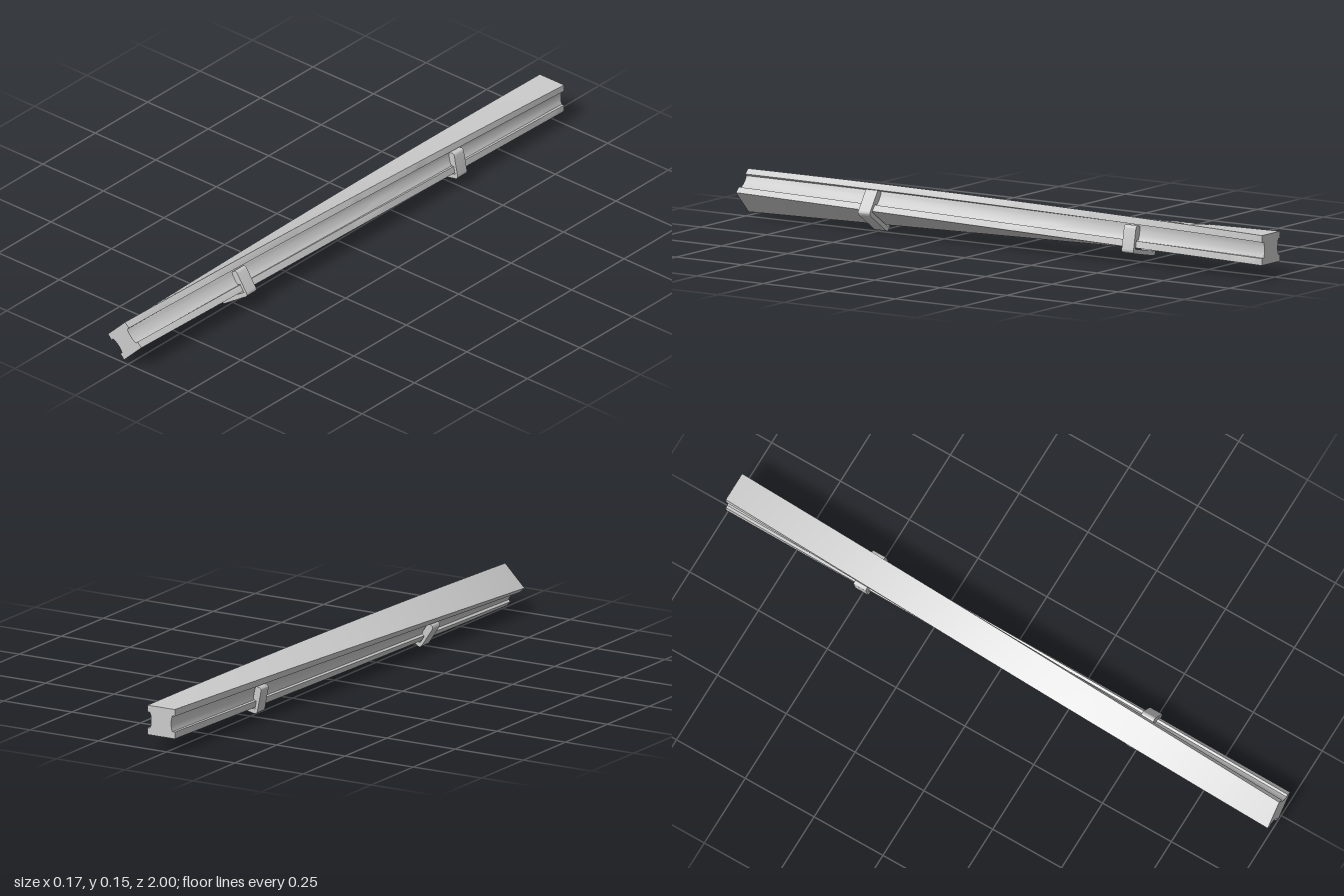
import * as THREE from 'three';
import { toCreasedNormals } from 'three/addons/utils/BufferGeometryUtils.js';

const LENGTH = 2;
const TWIST = Math.PI / 4;
const PIVOT = { x: 0.02, y: 0.045 }; // middle of the rail's underside

// Roll of the cross-section at a given z: level at the back, 45 degrees at the front
const rollAt = (z) => TWIST * (z + LENGTH / 2) / LENGTH;

// Closed outline from its right half, listed bottom to top
function mirroredShape(half) {
  const left = half.map(([x, y]) => [-x, y]).reverse();
  return new THREE.Shape([...half, ...left].map(([x, y]) => new THREE.Vector2(x, y)));
}

// Rail: grooved profile extruded along z, then each section rolled about the pivot
function railGeometry() {
  const shape = mirroredShape([
    [0.05, 0], [0.05, 0.022], [0.041, 0.022], [0.038, 0.03], [0.0365, 0.04],
    [0.0365, 0.054], [0.038, 0.064], [0.041, 0.073], [0.05, 0.073], [0.05, 0.095],
  ]);
  const geometry = new THREE.ExtrudeGeometry(shape, { depth: LENGTH, steps: 48, bevelEnabled: false });
  geometry.translate(0, 0, -LENGTH / 2);
  const p = geometry.attributes.position;
  const v = new THREE.Vector3();
  const axis = new THREE.Vector3(0, 0, 1);
  for (let i = 0; i < p.count; i++) {
    v.fromBufferAttribute(p, i).applyAxisAngle(axis, rollAt(p.getZ(i)));
    p.setXYZ(i, v.x, v.y, v.z);
  }
  return toCreasedNormals(geometry, 0.5);
}

// Clip: a strap under the rail whose arms hook into both side grooves
function clipGeometry(width) {
  const s = new THREE.Shape();
  s.moveTo(-0.052, -0.019);
  s.lineTo(0.052, -0.019);
  s.quadraticCurveTo(0.062, -0.018, 0.062, -0.007);
  s.lineTo(0.062, 0.058);
  s.quadraticCurveTo(0.062, 0.069, 0.053, 0.07);
  s.lineTo(0.042, 0.069);
  s.lineTo(0.039, 0.06);
  s.lineTo(0.039, 0.034);
  s.lineTo(0.042, 0.025);
  s.lineTo(0.052, 0.023);
  s.lineTo(0.052, -0.004);
  s.lineTo(-0.052, -0.004);
  s.lineTo(-0.052, 0.023);
  s.lineTo(-0.042, 0.025);
  s.lineTo(-0.039, 0.034);
  s.lineTo(-0.039, 0.06);
  s.lineTo(-0.042, 0.069);
  s.lineTo(-0.053, 0.07);
  s.quadraticCurveTo(-0.062, 0.069, -0.062, 0.058);
  s.lineTo(-0.062, -0.007);
  s.quadraticCurveTo(-0.062, -0.018, -0.052, -0.019);
  const geometry = new THREE.ExtrudeGeometry(s, { depth: width, bevelEnabled: false, curveSegments: 6 });
  geometry.translate(0, 0, -width / 2);
  return toCreasedNormals(geometry, 0.6);
}

export function createModel() {
  const group = new THREE.Group();
  group.name = 'twistedRail';
  const material = new THREE.MeshStandardMaterial({ color: 0xcccccc });

  const rail = new THREE.Mesh(railGeometry(), material);
  rail.name = 'rail';
  rail.position.set(PIVOT.x, PIVOT.y, 0);
  group.add(rail);

  // Clips follow the roll of the rail where they sit
  const clip = clipGeometry(0.045);
  for (const [name, z] of [['frontClip', 0.5], ['backClip', -0.5]]) {
    const mesh = new THREE.Mesh(clip, material);
    mesh.name = name;
    mesh.position.set(PIVOT.x, PIVOT.y, z);
    mesh.rotation.z = rollAt(z);
    group.add(mesh);
  }
  return group;
}
